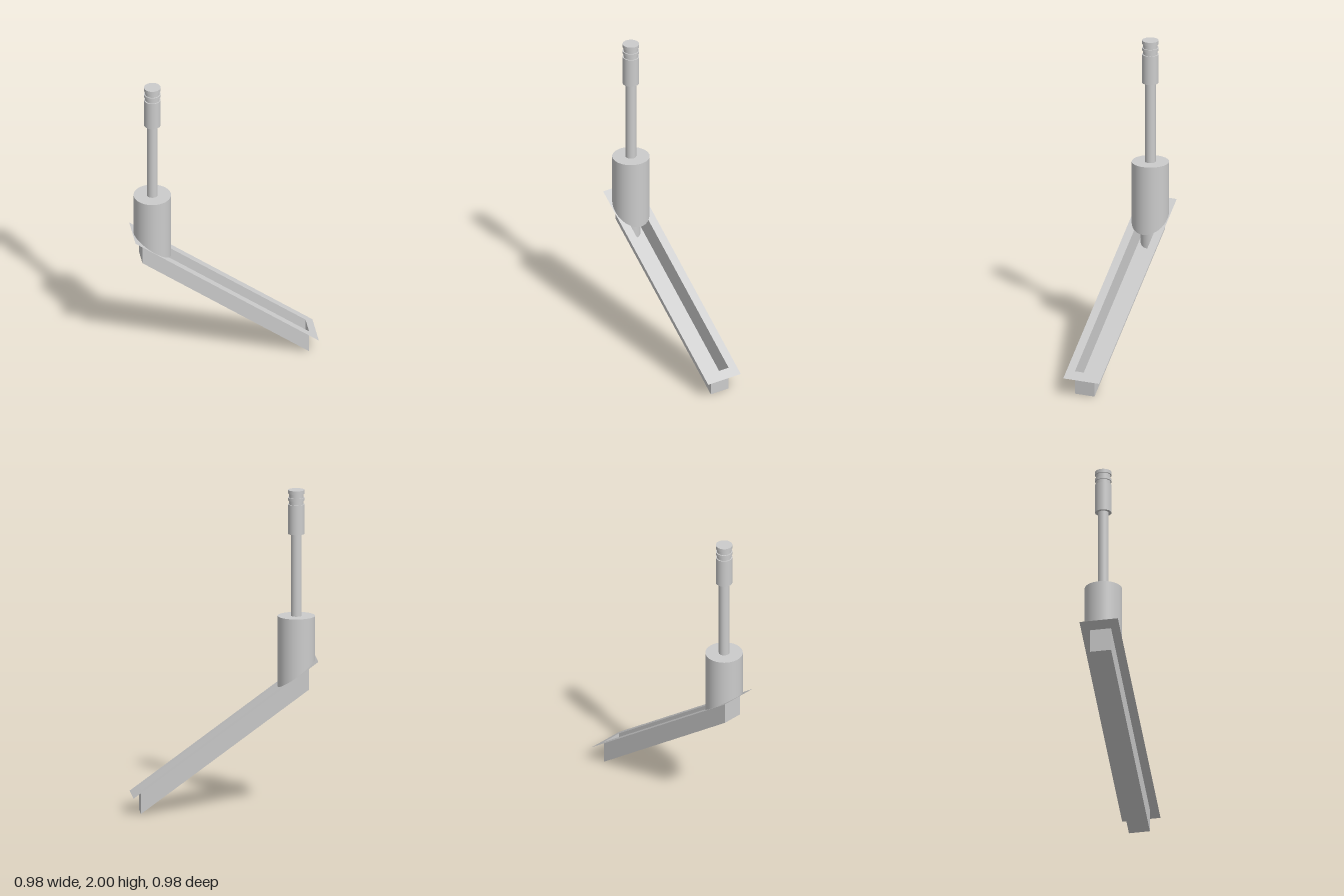
import * as THREE from 'three';

const SLOPE = 0.732;     // fall of the trough per unit of horizontal run
const RIM_Y = 0.525;     // rim height at the middle
const FLOOR_Y = 0.379;   // trough floor height at the middle
const POST_X = -0.446;   // post position along the trough

const material = new THREE.MeshStandardMaterial({ color: 0xcccccc });
const sheetMaterial = new THREE.MeshStandardMaterial({ color: 0xcccccc, side: THREE.DoubleSide });

function addMesh(parent, name, geometry, mat = material) {
  const mesh = new THREE.Mesh(geometry, mat);
  mesh.name = name;
  parent.add(mesh);
  return mesh;
}

// Tilts a geometry by sliding its vertices vertically, so upright walls stay upright
function shear(geometry) {
  const p = geometry.attributes.position;
  for (let i = 0; i < p.count; i++) p.setY(i, p.getY(i) - SLOPE * p.getX(i));
  geometry.computeVertexNormals();
  return geometry;
}

function rectangle(target, halfLength, halfWidth) {
  target.moveTo(-halfLength, -halfWidth);
  target.lineTo(halfLength, -halfWidth);
  target.lineTo(halfLength, halfWidth);
  target.lineTo(-halfLength, halfWidth);
  target.closePath();
  return target;
}

// Upright cylinder whose foot is cut along a sloping plane
function cutCylinder(radius, top, planeY) {
  const g = new THREE.CylinderGeometry(radius, radius, 1, 48);
  g.translate(POST_X, 0, 0);
  const p = g.attributes.position;
  for (let i = 0; i < p.count; i++) {
    p.setY(i, p.getY(i) > 0 ? top : planeY - SLOPE * p.getX(i));
  }
  return g;
}

export function createModel() {
  const model = new THREE.Group();
  model.name = 'slopingTroughWithPost';

  // Everything is laid out along local x, then turned onto the diagonal
  const body = new THREE.Group();
  body.name = 'body';
  body.rotation.y = -Math.PI / 4;
  model.add(body);

  // Flat rim with the trough opening
  const rimShape = rectangle(new THREE.Shape(), 0.57, 0.121);
  rimShape.holes.push(rectangle(new THREE.Path(), 0.518, 0.066));
  const rim = new THREE.ShapeGeometry(rimShape);
  rim.rotateX(-Math.PI / 2);
  rim.translate(0, RIM_Y, 0);
  addMesh(body, 'rim', shear(rim), sheetMaterial);

  // Open-topped trough: a box without its top face
  const depth = RIM_Y - FLOOR_Y;
  const trough = new THREE.BoxGeometry(1.036, depth, 0.132);
  const index = Array.from(trough.index.array);
  index.splice(12, 6);
  trough.setIndex(index);
  trough.clearGroups();
  trough.translate(0, FLOOR_Y + depth / 2, 0);
  addMesh(body, 'trough', shear(trough), sheetMaterial);

  // Socket on the rim and its narrower foot inside the trough
  addMesh(body, 'socket', cutCylinder(0.115, 1.21, RIM_Y + 0.001));
  addMesh(body, 'socketFoot', cutCylinder(0.06, 1.0, FLOOR_Y + 0.001));

  // Rod and grooved head: [name, radius, bottom, top]
  const stack = [
    ['rod', 0.033, 1.2, 1.74],
    ['headSleeve', 0.051, 1.725, 1.91],
    ['headNeck', 0.044, 1.9, 1.99],
    ['headRing', 0.051, 1.935, 1.952],
    ['headCap', 0.051, 1.978, 2.0],
  ];
  for (const [name, radius, bottom, top] of stack) {
    const part = addMesh(body, name, new THREE.CylinderGeometry(radius, radius, top - bottom, 40));
    part.position.set(POST_X, (bottom + top) / 2, 0);
  }

  return model;
}
